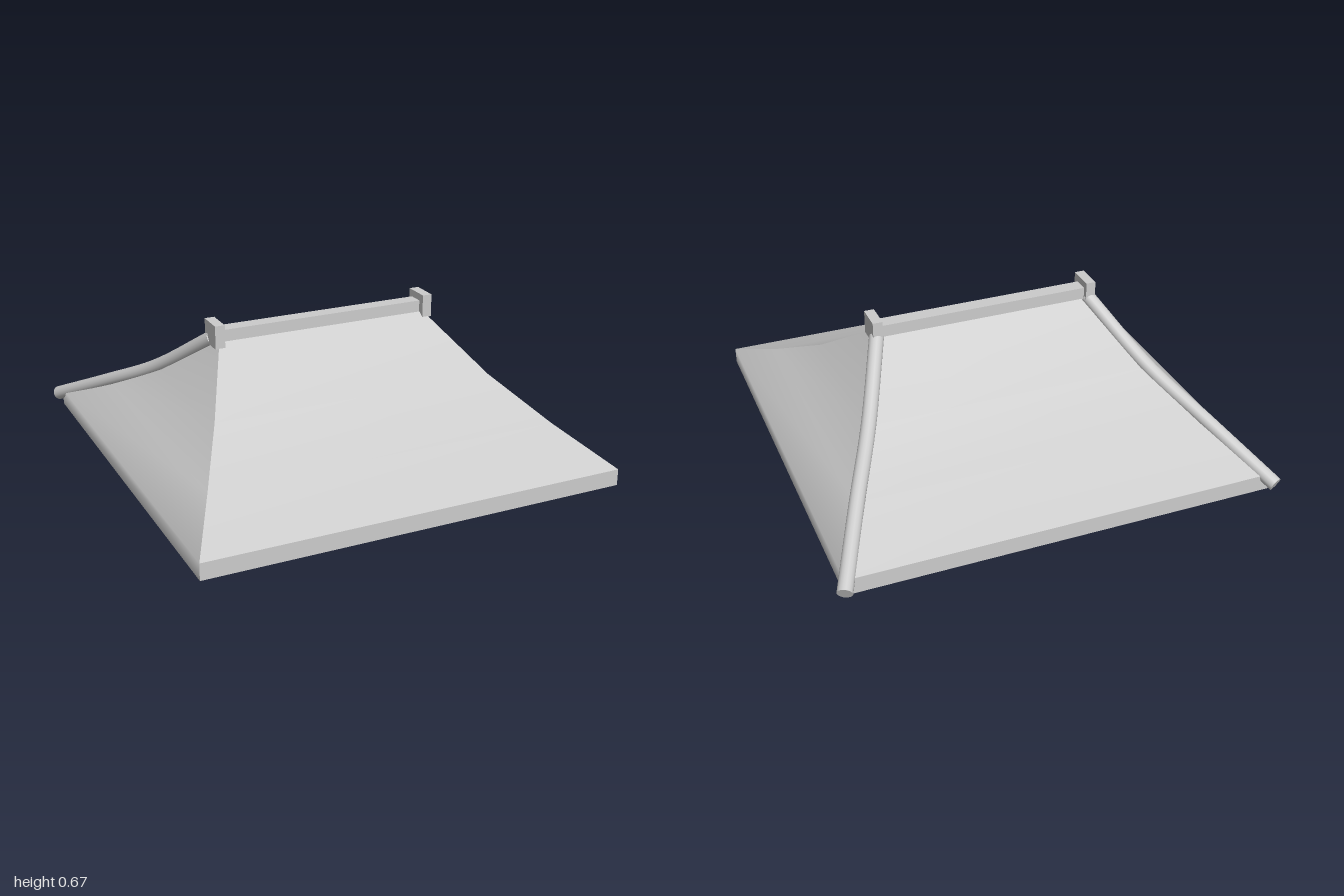
import * as THREE from 'three';

const CZ = 0.028; // depth of the ridge line
// Hip profile from eave to ridge: half width, height, half depth
const HIP = [
  [0.963, 0.075, 0.968],
  [0.812, 0.205, 0.668],
  [0.663, 0.357, 0.37],
  [0.505, 0.58, 0.035],
];
const SKIRT = [0.963, 0, 0.968];

function createMaterial() {
  return new THREE.MeshStandardMaterial({ color: 0xcccccc, side: THREE.DoubleSide });
}

// A roof slope lofted from rows of left/right corner points, smooth within itself
function slope(name, rows, toLeft, toRight, material) {
  const pos = [], index = [];
  for (const row of rows) pos.push(...toLeft(row), ...toRight(row));
  for (let i = 0; i < rows.length - 1; i++) {
    const a = i * 2;
    index.push(a, a + 1, a + 3, a, a + 3, a + 2);
  }
  const geo = new THREE.BufferGeometry();
  geo.setAttribute('position', new THREE.Float32BufferAttribute(pos, 3));
  geo.setIndex(index);
  geo.computeVertexNormals();
  const mesh = new THREE.Mesh(geo, material);
  mesh.name = name;
  return mesh;
}

function box(name, w, h, d, x, y, z, material) {
  const mesh = new THREE.Mesh(new THREE.BoxGeometry(w, h, d), material);
  mesh.name = name;
  mesh.position.set(x, y, z);
  return mesh;
}

// Round pole following a back hip, closed at both ends
function hipPole(side, material) {
  const group = new THREE.Group();
  group.name = side > 0 ? 'leftHipPole' : 'rightHipPole';
  const r = 0.033;
  const curve = new THREE.CatmullRomCurve3([
    [0.51, 0.582, -0.005],
    [0.663, 0.357, -0.342],
    [0.812, 0.207, -0.64],
    [0.973, 0.045, -0.98],
  ].map(([x, y, z]) => new THREE.Vector3(side * x, y, z)));
  const tube = new THREE.Mesh(new THREE.TubeGeometry(curve, 24, r, 16), material);
  tube.name = 'pole';
  group.add(tube);
  for (const t of [0, 1]) {
    const cap = new THREE.Mesh(new THREE.CircleGeometry(r, 16), material);
    cap.name = 'poleEnd';
    cap.position.copy(curve.getPointAt(t));
    const out = curve.getTangentAt(t).multiplyScalar(t ? 1 : -1);
    cap.quaternion.setFromUnitVectors(new THREE.Vector3(0, 0, 1), out);
    group.add(cap);
  }
  return group;
}

export function createModel() {
  const model = new THREE.Group();
  model.name = 'hipRoof';
  const mat = createMaterial();

  // Corner of a profile row in the quadrant given by signs
  const corner = (sx, sz) => ([x, y, z]) => [sx * x, y, CZ + sz * z];

  // Front and back slopes have a crisp eave, side slopes blend into their skirt
  const faces = [
    ['front', corner(-1, 1), corner(1, 1), true],
    ['back', corner(1, -1), corner(-1, -1), true],
    ['left', corner(1, 1), corner(1, -1), false],
    ['right', corner(-1, -1), corner(-1, 1), false],
  ];
  for (const [name, l, r, crisp] of faces) {
    if (crisp) {
      model.add(slope(name + 'Eave', [SKIRT, HIP[0]], l, r, mat));
      model.add(slope(name + 'Slope', HIP, l, r, mat));
    } else {
      model.add(slope(name + 'Slope', [SKIRT, ...HIP], l, r, mat));
    }
  }

  // Flat underside
  const under = new THREE.Mesh(new THREE.PlaneGeometry(2 * SKIRT[0], 2 * SKIRT[2]), mat);
  under.name = 'underside';
  under.rotation.x = Math.PI / 2;
  under.position.z = CZ;
  model.add(under);

  // Ridge beam with a block at each end
  model.add(box('ridgeBeam', 1.0, 0.07, 0.07, 0, 0.597, 0.024, mat));
  for (const side of [1, -1]) {
    const label = side > 0 ? 'left' : 'right';
    model.add(box(label + 'RidgeBlock', 0.045, 0.106, 0.126, side * 0.511, 0.612, 0.028, mat));
    model.add(hipPole(side, mat));
  }
  return model;
}
